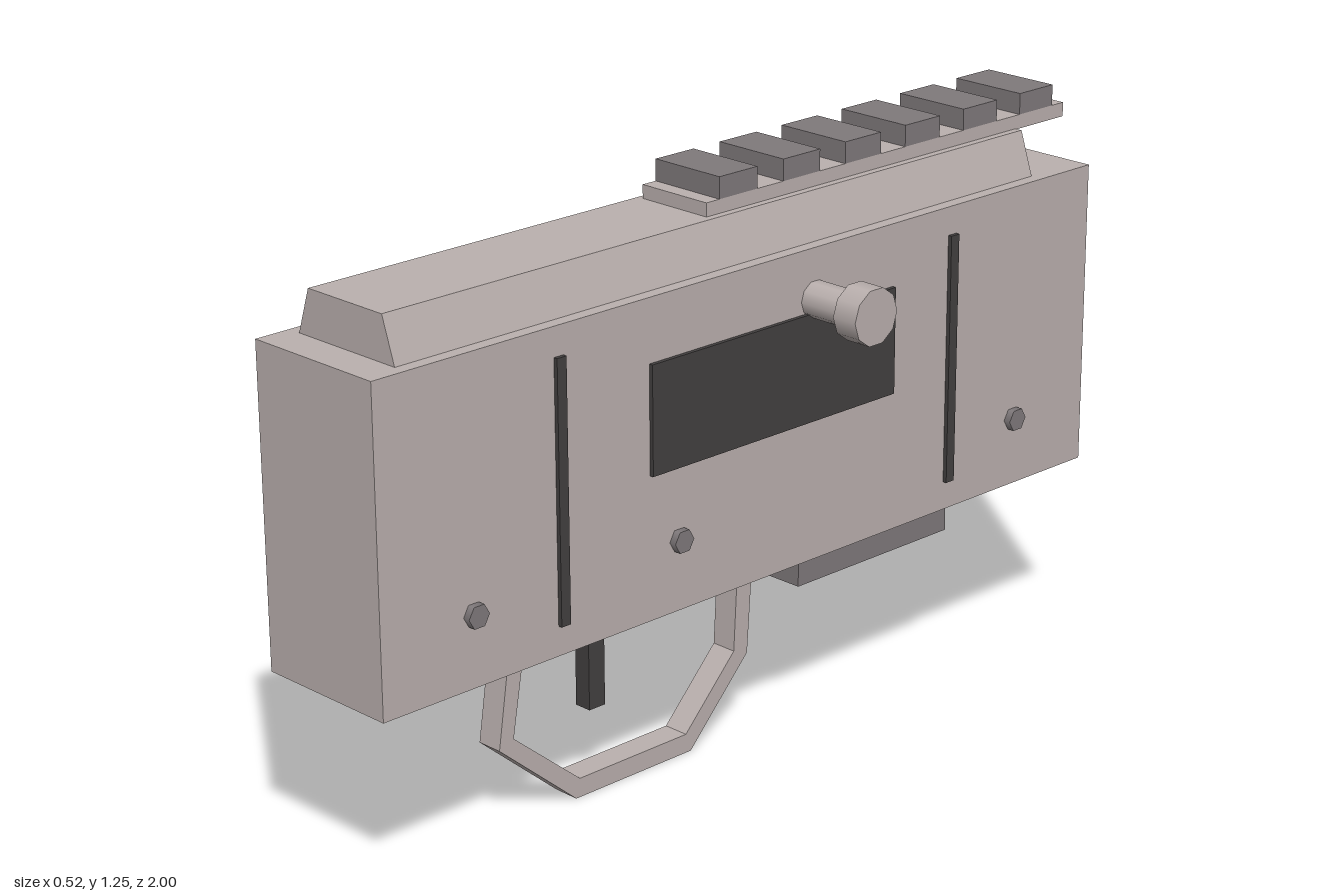
import * as THREE from 'three';

const CX = -0.077; // centre plane of the body

export function createModel() {
  const model = new THREE.Group();
  model.name = 'receiver';
  const paint = (name, color) => {
    const m = new THREE.MeshStandardMaterial({ color });
    m.name = name;
    return m;
  };
  const light = paint('warm light grey', 0xbab0ae);
  const mid = paint('mid grey', 0x7f797b);
  const dark = paint('dark grey', 0x434040);

  const add = (name, geometry, material) => {
    const mesh = new THREE.Mesh(geometry, material);
    mesh.name = name;
    model.add(mesh);
    return mesh;
  };
  // Box given by its lower and upper limits on each axis
  const box = (name, material, x0, x1, y0, y1, z0, z1) =>
    add(name, new THREE.BoxGeometry(x1 - x0, y1 - y0, z1 - z0), material)
      .position.set((x0 + x1) / 2, (y0 + y1) / 2, (z0 + z1) / 2);
  // Cylinder lying along x
  const rod = (name, material, r, x0, x1, y, z, sides) =>
    add(name, new THREE.CylinderGeometry(r, r, x1 - x0, sides).rotateZ(-Math.PI / 2), material)
      .position.set((x0 + x1) / 2, y, z);
  const outline = (points) => new THREE.Shape(points.map(([x, y]) => new THREE.Vector2(x, y)));
  const extrude = (points, depth) =>
    new THREE.ExtrudeGeometry(outline(points), { depth, bevelEnabled: false });

  // Main body and tapered top cover
  box('body', light, -0.245, 0.091, 0.41, 1.085, -1, 1);
  add('topCover', extrude(
    [[-0.215, 1.085], [0.062, 1.085], [0.03, 1.18], [-0.183, 1.18]], 1.765), light)
    .position.z = -0.845;

  // Toothed rail
  box('railBase', light, -0.169, 0.013, 1.178, 1.209, -1, 0.079);
  for (let i = 0; i < 6; i++) {
    const z = -0.01 - i * 0.18;
    box('railTooth', mid, -0.169, 0.013, 1.209, 1.255, z - 0.053, z + 0.053);
  }

  // Thin strips on both sides
  for (const z of [0.546, -0.562]) {
    box('leftStrip', dark, 0.091, 0.1, 0.473, 1.023, z - 0.012, z + 0.012);
    box('rightStrip', dark, -0.254, -0.245, 0.473, 1.023, z - 0.012, z + 0.012);
  }
  // Hexagonal pins through the body; corners point along z
  for (const z of [0.772, 0.233, -0.77]) {
    const geometry = new THREE.CylinderGeometry(0.026, 0.026, 0.368, 6).rotateZ(-Math.PI / 2);
    add('pin', geometry.toNonIndexed(), mid).position.set(CX, 0.562, z);
  }
  // Side port and handle
  box('port', dark, 0.091, 0.1, 0.718, 0.95, -0.381, 0.311);
  rod('handleShaft', light, 0.039, 0.085, 0.2, 0.977, -0.15, 10);
  rod('handleKnob', light, 0.061, 0.2, 0.26, 0.977, -0.15, 10);

  // Guard loop, trigger and lower block
  const guard = extrude([
    [0.562, 0.412], [0.598, 0.173], [0.395, 0], [0.07, 0], [-0.096, 0.173], [-0.114, 0.412],
    [-0.07, 0.412], [-0.057, 0.188], [0.084, 0.042], [0.384, 0.042], [0.56, 0.188], [0.521, 0.412],
  ], 0.06).rotateY(-Math.PI / 2);
  add('triggerGuard', guard, light).position.x = -0.047;
  box('trigger', dark, CX - 0.02, CX + 0.02, 0.178, 0.412, 0.303, 0.346);
  box('lowerBlock', mid, -0.2, 0.045, 0.333, 0.412, -0.611, -0.155);

  return model;
}
